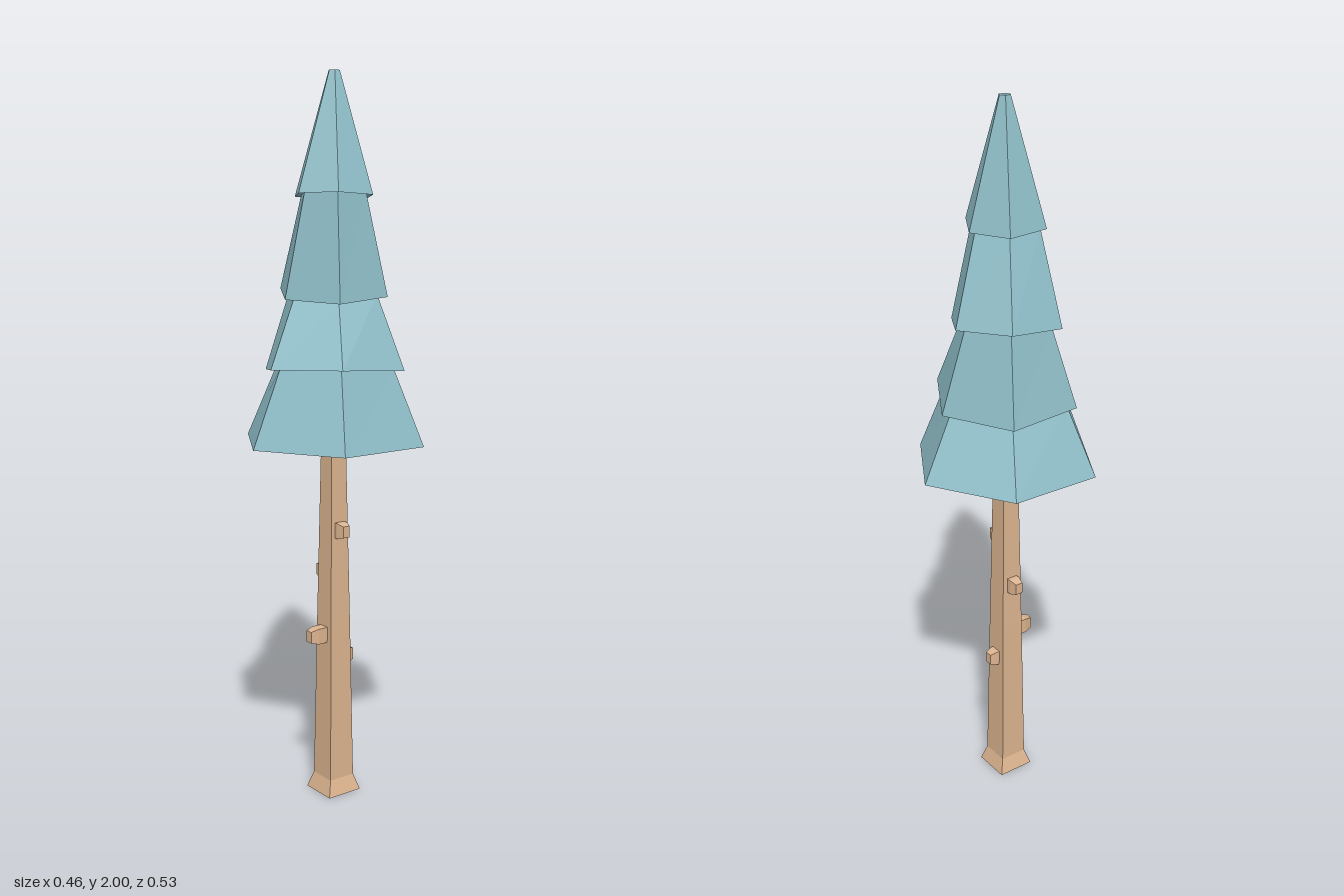
import * as THREE from 'three';

const bark = new THREE.MeshStandardMaterial({ color: 0xddb590, flatShading: true });
const needles = new THREE.MeshStandardMaterial({ color: 0x8fbec8, flatShading: true });

// Joins rings of equal point count (counter-clockwise seen from above) and caps both ends
function loft(name, rings, material) {
  const n = rings[0].length;
  const pos = rings.flat().flatMap((p) => p.toArray());
  const idx = [];
  for (let r = 0; r < rings.length - 1; r++) {
    for (let i = 0; i < n; i++) {
      const a = r * n + i, b = r * n + ((i + 1) % n);
      idx.push(a, b, b + n, a, b + n, a + n);
    }
  }
  const top = (rings.length - 1) * n;
  for (let i = 1; i < n - 1; i++) {
    idx.push(0, i + 1, i, top, top + i, top + i + 1);
  }
  const indexed = new THREE.BufferGeometry();
  indexed.setAttribute('position', new THREE.Float32BufferAttribute(pos, 3));
  indexed.setIndex(idx);
  const geometry = indexed.toNonIndexed();
  geometry.computeVertexNormals();
  const mesh = new THREE.Mesh(geometry, material);
  mesh.name = name;
  return mesh;
}

// Hexagon with a corner toward +z, tilted by slopes sx and sz
function hexRing(cx, cz, y, radius, sx = 0, sz = 0) {
  return Array.from({ length: 6 }, (_, i) => {
    const a = (i * Math.PI) / 3;
    const x = Math.sin(a) * radius, z = Math.cos(a) * radius;
    return new THREE.Vector3(cx + x, y + sx * x + sz * z, cz + z);
  });
}

// Axis-aligned rectangle at height y
function rectRing(hx, hz, y) {
  return [[-1, 1], [1, 1], [1, -1], [-1, -1]].map(
    ([x, z]) => new THREE.Vector3(x * hx, y, z * hz));
}

export function createModel() {
  const tree = new THREE.Group();
  tree.name = 'pineTree';

  // Square trunk with a flared foot
  const trunkProfile = [[0.054, 0], [0.04, 0.045], [0.033, 0.5], [0.024, 1.03]];
  tree.add(loft('trunk', trunkProfile.map(([h, y]) => rectRing(h, h, y)), bark));

  // Cut branch stubs, one on each side: height, turn about y, reach
  const stubs = [
    [0.47, 0, 0.085],
    [0.77, Math.PI / 2, 0.06],
    [0.395, Math.PI, 0.062],
    [0.64, -Math.PI / 2, 0.065],
  ];
  for (const [y, turn, reach] of stubs) {
    const stub = loft('branchStub', [
      rectRing(0.016, 0.022, 0.02),
      rectRing(0.016, 0.022, reach - 0.022),
      rectRing(0.011, 0.016, reach),
    ], bark);
    stub.rotation.set(Math.PI / 2, 0, 0);
    const pivot = new THREE.Group();
    pivot.name = 'branch';
    pivot.position.y = y;
    pivot.rotation.y = turn;
    pivot.add(stub);
    tree.add(pivot);
  }

  // Stacked skirts of foliage: centre x, z, height, outer radius, radius tucked above, tilt
  const tiers = [
    [0, 0, 1.018, 0.263, 0, 0, 0],
    [0.007, 0.005, 1.213, 0.205, 0.175, 0.085, 0.07],
    [-0.015, -0.01, 1.42, 0.158, 0.128, -0.1, -0.08],
    [0.008, 0.006, 1.677, 0.113, 0.094, 0.06, 0.06],
  ];
  const rings = [];
  for (const [cx, cz, y, outer, inner, sx, sz] of tiers) {
    if (inner) rings.push(hexRing(cx, cz, y + 0.004, inner, sx, sz));
    rings.push(hexRing(cx, cz, y, outer, sx, sz));
  }
  rings.push(hexRing(-0.009, -0.009, 2, 0.016));
  tree.add(loft('foliage', rings, needles));

  return tree;
}
